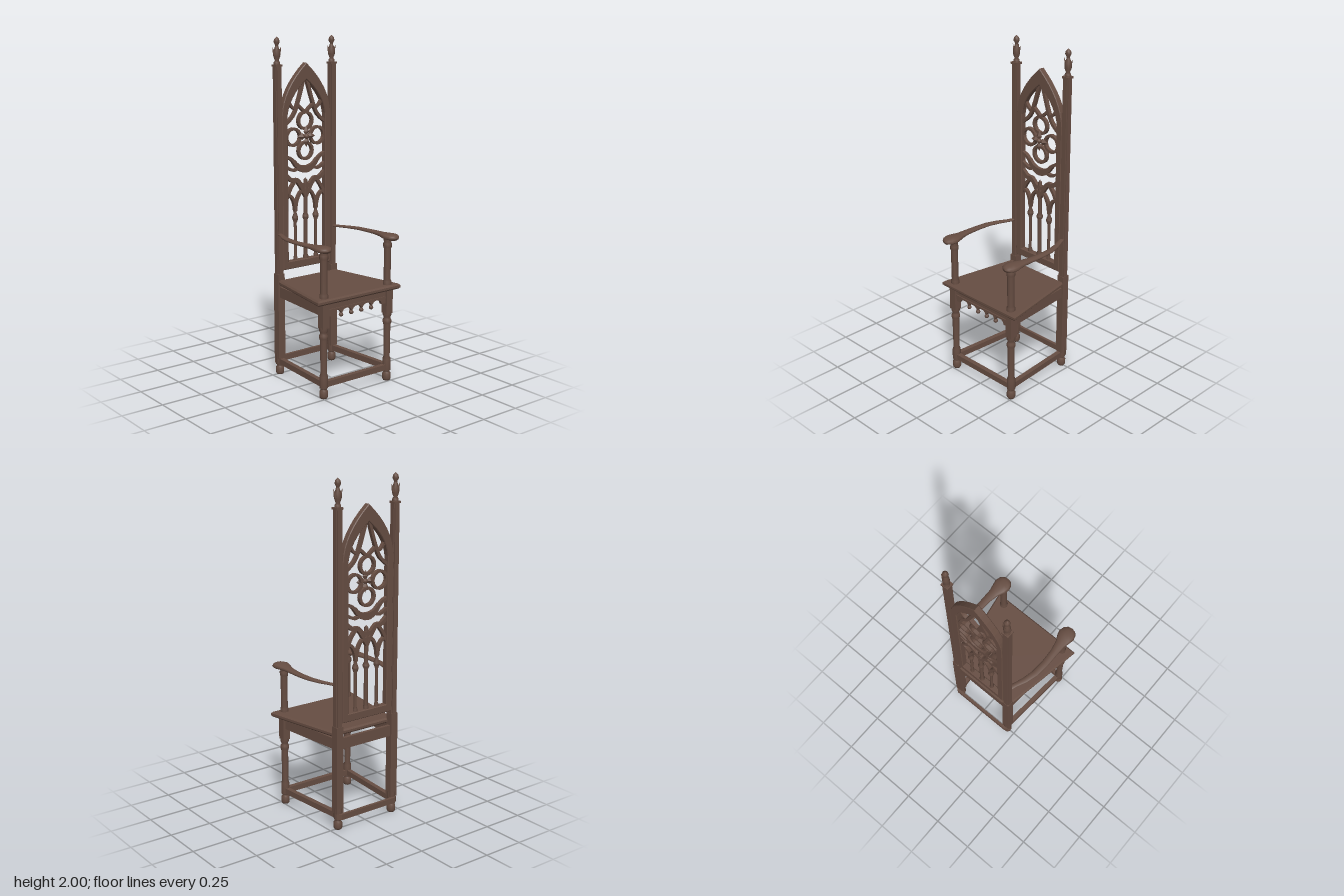
import * as THREE from 'three';

export function createModel() {
  const wood = new THREE.MeshStandardMaterial({ color: 0x664d42 });
  wood.name = 'dark wood';
  const root = new THREE.Group();
  root.name = 'gothicArmchair';

  const V2 = (x, y) => new THREE.Vector2(x, y);
  function add(name, geo, x = 0, y = 0, z = 0, parent = root) {
    const m = new THREE.Mesh(geo, wood);
    m.name = name;
    m.position.set(x, y, z);
    parent.add(m);
    return m;
  }
  const box = (name, w, h, d, x, y, z) => add(name, new THREE.BoxGeometry(w, h, d), x, y, z);
  const lathe = (pts, n = 10) => new THREE.LatheGeometry(pts.map(p => V2(p[0], p[1])), n);
  const extrude = (shape, depth, bevel = 0) => new THREE.ExtrudeGeometry(shape, {
    depth, curveSegments: 8, bevelEnabled: bevel > 0, bevelSize: bevel, bevelThickness: bevel, bevelSegments: 1 });

  // horizontal bar between two points
  function bar(name, ax, az, bx, bz, y, h, t) {
    const m = box(name, t, h, Math.hypot(bx - ax, bz - az), (ax + bx) / 2, y, (az + bz) / 2);
    m.rotation.y = Math.atan2(bx - ax, bz - az);
  }

  // flat strip of varying width following a smooth line in the back plane
  function strip(name, pts, w0, w1 = w0, z = -0.262, depth = 0.022) {
    const curve = new THREE.SplineCurve(pts.map(p => V2(p[0], p[1])));
    const a = [], b = [], n = 10;
    for (let i = 0; i <= n; i++) {
      const p = curve.getPoint(i / n), t = curve.getTangent(i / n);
      const w = (w0 + (w1 - w0) * Math.sin(Math.PI * i / n)) / 2;
      a.push(V2(p.x - t.y * w, p.y + t.x * w));
      b.unshift(V2(p.x + t.y * w, p.y - t.x * w));
    }
    add(name, extrude(new THREE.Shape([...a, ...b]), depth), 0, 0, z);
  }

  // smooth loft along z through elliptical sections [x, y, z, rx, ry]
  function loft(sections, n = 10) {
    const pos = [], idx = [];
    sections.forEach(([x, y, z, rx, ry], i) => {
      for (let j = 0; j < n; j++) {
        const t = j / n * Math.PI * 2;
        pos.push(x + Math.cos(t) * rx, y + Math.sin(t) * ry, z);
        if (i < sections.length - 1) {
          const a = i * n + j, b = i * n + (j + 1) % n;
          idx.push(a, b, a + n, b, b + n, a + n);
        }
      }
    });
    const g = new THREE.BufferGeometry();
    g.setAttribute('position', new THREE.Float32BufferAttribute(pos, 3));
    g.setIndex(idx);
    g.computeVertexNormals();
    return g;
  }

  // seat: tapering slab with a moulded edge
  const seat = extrude(new THREE.Shape([V2(-0.293, -0.256), V2(0.293, -0.256), V2(0.208, 0.225), V2(-0.208, 0.225)]), 0.013, 0.009);
  seat.rotateX(-Math.PI / 2);
  add('seat', seat, 0, 0.563, 0);

  // front apron with five arches and small drops
  const apron = new THREE.Shape();
  apron.moveTo(-0.215, 0.555);
  apron.lineTo(-0.215, 0.475);
  apron.lineTo(-0.185, 0.475);
  for (let i = 0; i < 5; i++) {
    const x = -0.185 + i * 0.074;
    apron.bezierCurveTo(x + 0.008, 0.515, x + 0.066, 0.515, x + 0.074, 0.475);
  }
  apron.lineTo(0.215, 0.475);
  apron.lineTo(0.215, 0.555);
  add('frontApron', extrude(apron, 0.02), 0, 0, 0.215);
  box('apronMoulding', 0.42, 0.012, 0.03, 0, 0.512, 0.226);
  for (let i = 0; i < 4; i++)
    add('apronDrop', new THREE.SphereGeometry(0.013, 8, 6), -0.111 + i * 0.074, 0.469, 0.226);
  box('backApron', 0.38, 0.065, 0.02, 0, 0.515, -0.25);

  // stretchers
  bar('frontStretcher', -0.235, 0.225, 0.235, 0.225, 0.082, 0.034, 0.028);
  const rear = extrude(new THREE.Shape([V2(-0.218, 0.27), V2(0.218, 0.27), V2(0.197, 0.287), V2(-0.197, 0.287)]), 0.034);
  rear.rotateX(-Math.PI / 2);
  add('backStretcher', rear, 0, 0.065, 0);

  const foot = [[0, 0], [0.02, 0], [0.026, 0.012], [0.026, 0.04], [0.018, 0.05], [0.018, 0.058], [0.025, 0.062], [0.025, 0.13]];
  for (const s of [-1, 1]) {
    const fx = s * 0.235, px = s * 0.197;
    bar('sideStretcher', fx, 0.225, px, -0.25, 0.083, 0.034, 0.028);
    bar('sideApron', fx, 0.225, px, -0.25, 0.513, 0.064, 0.022);

    // turned front leg with a square top block
    add('frontLeg', lathe([...foot, [0.019, 0.145], [0.021, 0.34], [0.026, 0.355], [0.026, 0.37],
      [0.021, 0.378], [0.021, 0.39], [0.026, 0.4], [0.026, 0.42]]), fx, 0, 0.225);
    box('frontLegBlock', 0.046, 0.145, 0.046, fx, 0.485, 0.225);

    // back post: notched square section above a thicker leg
    add('backFoot', lathe(foot), px, 0, -0.25);
    box('backLeg', 0.046, 0.52, 0.046, px, 0.36, -0.248);
    box('backPost', 0.042, 1.24, 0.028, px, 1.22, -0.248);
    box('backPostRib', 0.028, 1.24, 0.042, px, 1.22, -0.248);
    box('postCap', 0.046, 0.012, 0.044, px, 1.838, -0.248);

    // finial with leaves
    const finial = new THREE.Group();
    finial.name = 'finial';
    finial.position.set(px, 1.844, -0.25);
    root.add(finial);
    add('finialBud', lathe([[0.018, 0], [0.018, 0.012], [0.011, 0.022], [0.02, 0.045], [0.019, 0.075], [0.01, 0.1],
      [0.009, 0.108], [0.018, 0.125], [0.014, 0.142], [0, 0.156]], 8), 0, 0, 0, finial);
    for (const [lx, lz] of [[1, 0], [-1, 0], [0, 1], [0, -1]]) {
      const leaf = add('finialLeaf', new THREE.ConeGeometry(0.011, 0.05, 5), lx * 0.022, 0.075, lz * 0.012, finial);
      leaf.rotation.set(lz * 0.25, 0, -lx * 0.35);
    }

    // arm support and sweeping arm with a rounded hand rest
    add('armPost', lathe([[0.025, 0.58], [0.025, 0.605], [0.02, 0.615], [0.021, 0.8], [0.025, 0.81], [0.025, 0.83],
      [0.021, 0.836], [0.024, 0.862]], 8), s * 0.233, 0, 0.225);
    add('arm', loft([
      [0.198, 0.86, -0.24, 0.001, 0.001], [0.198, 0.86, -0.239, 0.015, 0.007], [0.21, 0.86, -0.2, 0.016, 0.007],
      [0.236, 0.861, -0.14, 0.019, 0.008], [0.255, 0.863, -0.07, 0.021, 0.009], [0.261, 0.864, 0.01, 0.022, 0.01],
      [0.259, 0.866, 0.1, 0.024, 0.012], [0.253, 0.867, 0.16, 0.031, 0.014], [0.248, 0.868, 0.2, 0.045, 0.017],
      [0.247, 0.868, 0.23, 0.052, 0.019], [0.247, 0.867, 0.26, 0.044, 0.018], [0.247, 0.865, 0.278, 0.027, 0.014],
      [0.247, 0.864, 0.285, 0.001, 0.001]].map(([x, ...r]) => [s * x, ...r])), 0, 0, 0);

    // tracery, mirrored about the centre
    const m = pts => pts.map(([x, y]) => [s * x, y]);
    strip('topBranch', m([[0.012, 1.75], [0.05, 1.63], [0.085, 1.55], [0.14, 1.5]]), 0.018);
    strip('topLink', m([[0.06, 1.61], [0.03, 1.585], [0, 1.56]]), 0.016);
    strip('sideLink', m([[0.07, 1.58], [0.1, 1.6], [0.125, 1.64]]), 0.014);
    strip('crescentHorn', m([[0.07, 1.25], [0.1, 1.29], [0.14, 1.31]]), 0.018);
    strip('crescentFoot', m([[0.05, 1.235], [0.09, 1.225], [0.14, 1.25]]), 0.016);
    strip('upperWing', m([[0.14, 1.2], [0.1, 1.165], [0.065, 1.165], [0.03, 1.13], [0, 1.13]]), 0.02, 0.026);
    strip('lightArch', m([[0, 1.06], [0.035, 1.12], [0.07, 1.17]]), 0.018);
    strip('lightArch', m([[0.07, 1.17], [0.11, 1.12], [0.14, 1.06]]), 0.018);
    strip('innerLancet', m([[0.076, 0.98], [0.066, 1.04], [0.038, 1.09], [0, 1.1]]), 0.016);
    strip('outerLancet', m([[0.076, 0.98], [0.084, 1.03], [0.105, 1.07], [0.14, 1.09]]), 0.016);
    add('sideColumn', lathe([[0.013, 0.68], [0.013, 0.7], [0.009, 0.71], [0.009, 0.91], [0.018, 0.935], [0.018, 0.945],
      [0.009, 0.97], [0.009, 1.03]], 8), s * 0.076, 0, -0.25);
  }

  // back frame: tall pointed arch with an open centre
  const arch = (path, w, y0, y1, cx, cy, top) => {
    path.moveTo(-w, y0);
    path.lineTo(w, y0);
    path.lineTo(w, y1);
    path.quadraticCurveTo(cx, cy, 0, top);
    path.quadraticCurveTo(-cx, cy, -w, y1);
    path.closePath();
    return path;
  };
  const frame = arch(new THREE.Shape(), 0.172, 0.643, 1.55, 0.165, 1.7, 1.842);
  frame.holes.push(arch(new THREE.Path(), 0.14, 0.682, 1.55, 0.125, 1.66, 1.757));
  add('backFrame', extrude(frame, 0.03, 0.004), 0, 0, -0.265);

  // centre column, quatrefoil rings, crescent and flower
  add('centreColumn', lathe([[0.016, 0.68], [0.016, 0.7], [0.012, 0.71], [0.012, 0.92], [0.019, 0.935], [0.019, 0.945],
    [0.012, 0.96], [0.012, 1.16], [0, 1.175]], 8), 0, 0, -0.25);
  for (const [x, y] of [[0, 1.512], [0, 1.335], [0.087, 1.42], [-0.087, 1.42]]) {
    const ring = new THREE.Shape().absarc(0, 0, 0.057, 0, Math.PI * 2);
    ring.holes.push(new THREE.Path().absarc(0, 0, 0.041, 0, Math.PI * 2, true));
    add('quatrefoilRing', extrude(ring, 0.022), x, y, -0.262);
  }
  strip('crescent', [200, 225, 250, 270, 290, 315, 340].map(d => {
    const t = d * Math.PI / 180;
    return [Math.cos(t) * 0.09, 1.315 + Math.sin(t) * 0.09];
  }), 0.012, 0.042);
  for (let i = 0; i < 4; i++) {
    const petal = new THREE.OctahedronGeometry(1);
    petal.scale(0.034, 0.02, 0.014);
    petal.translate(0.03, 0, 0);
    add('flowerPetal', petal, 0, 1.42, -0.238).rotation.z = i * Math.PI / 2;
  }
  add('flowerCentre', new THREE.SphereGeometry(0.016, 8, 6), 0, 1.42, -0.236);

  return root;
}
